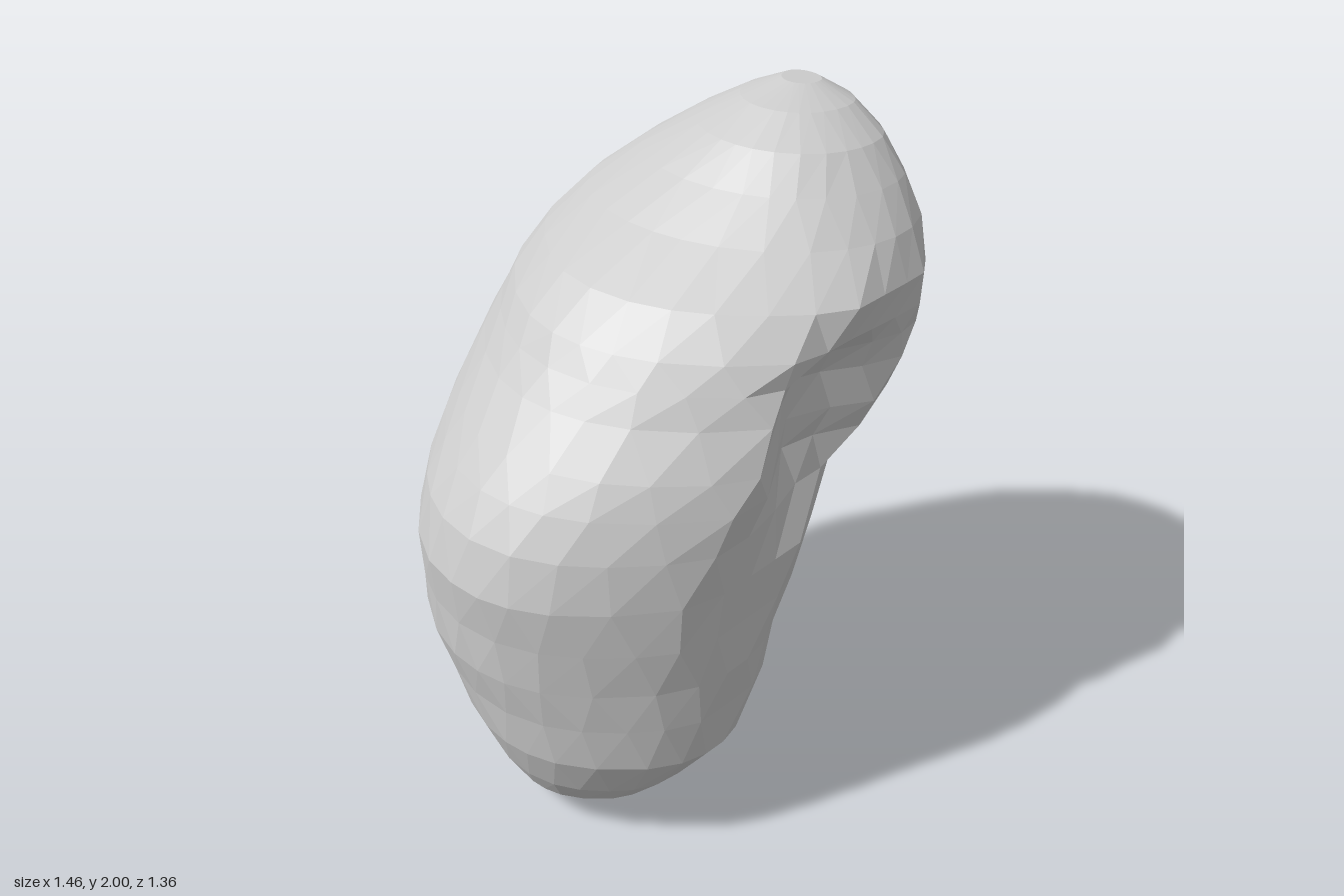
import * as THREE from 'three';

// Horizontal sections: y, xMin, xMax, zMin, zMax, skew, limit along the +x+z diagonal
const sections = [
  [0.00, -0.34, -0.24, 0.24, 0.31, 0, 1],
  [0.06, -0.46, -0.12, 0.10, 0.50, 0.1, 1],
  [0.12, -0.51, 0.00, -0.04, 0.58, 0.15, 1],
  [0.20, -0.57, 0.10, -0.16, 0.63, 0.15, 1],
  [0.33, -0.64, 0.23, -0.28, 0.68, 0.15, 1],
  [0.47, -0.69, 0.29, -0.38, 0.68, 0.12, 0.51],
  [0.60, -0.735, 0.32, -0.46, 0.68, 0.08, 0.52],
  [0.74, -0.735, 0.375, -0.50, 0.68, 0.03, 0.51],
  [0.88, -0.735, 0.43, -0.54, 0.675, -0.05, 0.51],
  [1.02, -0.70, 0.50, -0.585, 0.645, -0.06, 0.51],
  [1.13, -0.65, 0.59, -0.645, 0.61, -0.03, 0.53],
  [1.22, -0.60, 0.64, -0.68, 0.57, 0, 0.54],
  [1.34, -0.53, 0.69, -0.68, 0.50, 0.05, 0.54],
  [1.42, -0.48, 0.71, -0.68, 0.46, 0.08, 0.54],
  [1.49, -0.44, 0.73, -0.68, 0.42, 0.1, 0.55],
  [1.59, -0.35, 0.73, -0.68, 0.33, 0.15, 0.56],
  [1.70, -0.22, 0.73, -0.68, 0.18, 0.2, 0.56],
  [1.80, -0.06, 0.69, -0.65, 0.06, 0.2, 1],
  [1.89, 0.09, 0.64, -0.60, -0.04, 0.1, 1],
  [1.96, 0.22, 0.56, -0.51, -0.17, 0, 1],
  [2.00, 0.34, 0.46, -0.43, -0.30, 0, 1],
];
const SIDES = 28;

// Point on a skewed rounded section, flattened on the hollow side and notched by a V
function sectionPoint([y, x0, x1, z0, z1, skew, limit], t) {
  // The middle of the body is slightly squared, the upper lobe is round
  const power = y < 1.65 ? 0.86 : 1;
  const squared = (c) => Math.sign(c) * Math.abs(c) ** power;
  let x = (x0 + x1) / 2 + (x1 - x0) / 2 * squared(Math.cos(t));
  let z = (z0 + z1) / 2 + (z1 - z0) / 2 * squared(Math.sin(t + Math.asin(skew)));
  let u = (x + z) * Math.SQRT1_2;
  let v = (x - z) * Math.SQRT1_2;
  u = Math.max(-Math.min(0.68, 0.38 + 0.33 * y), Math.min(u, limit));
  v = Math.max(-0.79, v > 0.55 ? 0.55 + (v - 0.55) * 0.7 : v);
  if (u > 0.2) {
    const tall = Math.max(0, Math.min(1, (y - 0.92) / 0.2, (1.5 - y) / 0.12));
    u -= 0.16 * tall * Math.max(0, 1 - Math.abs(v - 0.09) / 0.26);
  }
  x = (u + v) * Math.SQRT1_2;
  z = (u - v) * Math.SQRT1_2;
  return [x, y, z];
}

function stoneGeometry() {
  const pos = [], index = [];
  sections.forEach((s, j) => {
    for (let i = 0; i < SIDES; i++) {
      // Staggered rows with slight unevenness give irregular facets
      const wobble = 0.04 * Math.sin(i * 7.3 + j * 3.1);
      pos.push(...sectionPoint(s, (i + (j % 2) / 2) / SIDES * Math.PI * 2 + wobble));
    }
  });
  const id = (i, j) => j * SIDES + (i + SIDES) % SIDES;
  for (let j = 0; j < sections.length - 1; j++) {
    for (let i = 0; i < SIDES; i++) {
      const a = id(i, j), b = id(i + 1, j), c = id(i, j + 1), d = id(i + 1, j + 1);
      if (j % 2) index.push(a, d, b, a, c, d);
      else index.push(a, c, b, b, c, d);
    }
  }
  // End caps
  const last = sections.length - 1;
  for (let i = 1; i < SIDES - 1; i++) {
    index.push(id(0, 0), id(i, 0), id(i + 1, 0));
    index.push(id(0, last), id(i + 1, last), id(i, last));
  }
  const g = new THREE.BufferGeometry();
  g.setAttribute('position', new THREE.Float32BufferAttribute(pos, 3));
  g.setIndex(index);
  const flat = g.toNonIndexed();
  flat.computeVertexNormals();
  return flat;
}

export function createModel() {
  const group = new THREE.Group();
  group.name = 'rock';
  const material = new THREE.MeshStandardMaterial({ color: 0xcccccc, flatShading: true });
  const stone = new THREE.Mesh(stoneGeometry(), material);
  stone.name = 'stone';
  group.add(stone);
  return group;
}
